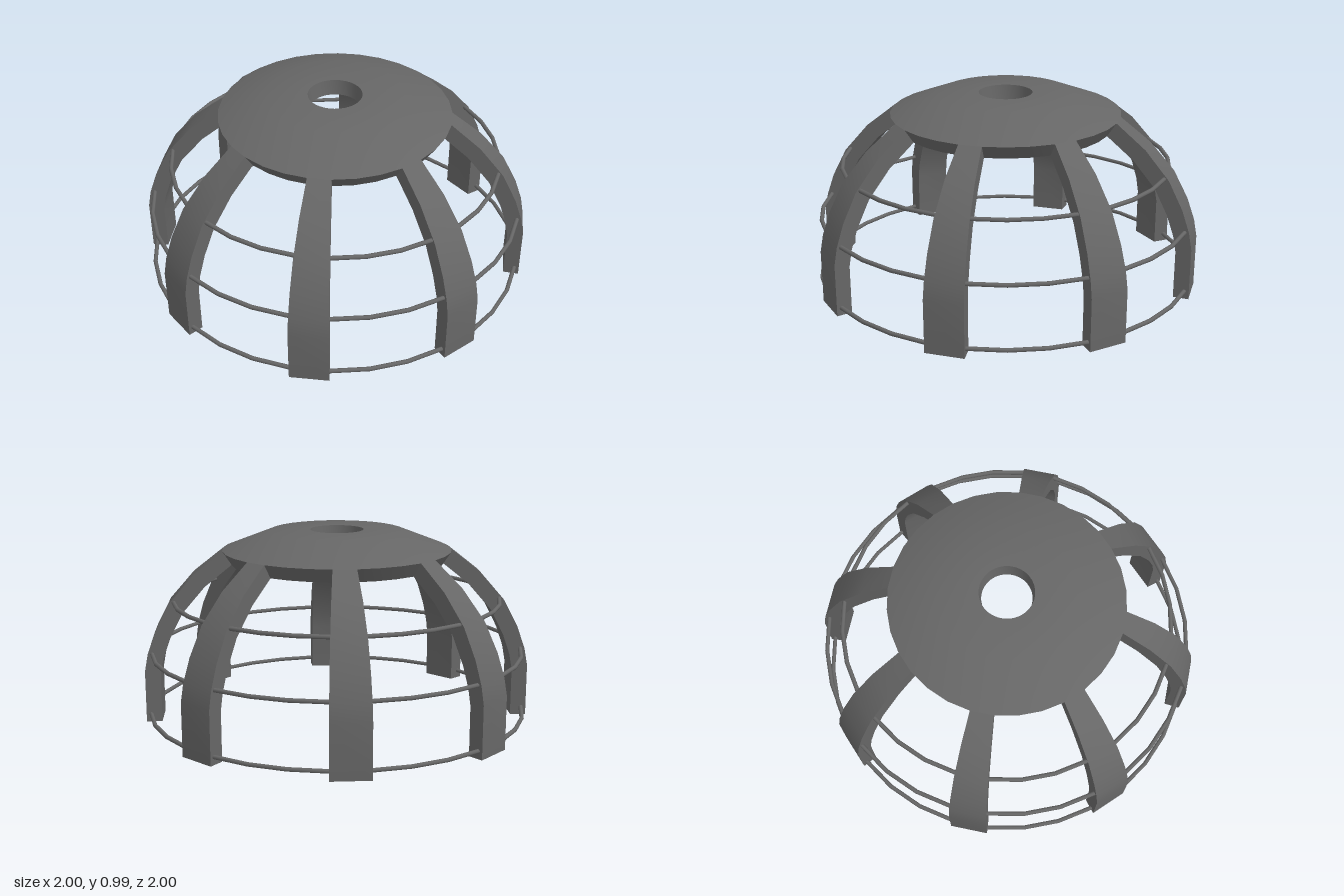
import * as THREE from 'three';
import { mergeGeometries, toCreasedNormals } from 'three/addons/utils/BufferGeometryUtils.js';

const STEP = Math.PI / 16; // the dome is divided into 32 facets around
const INNER = 0.92; // inner shell as a fraction of the outer one

// Closed (radius, height) section: outer line upwards, scaled inner line back down
function shellSection(outer) {
  const out = outer.map(([r, y]) => new THREE.Vector2(r, y));
  const inn = out.map((p) => p.clone().multiplyScalar(INNER)).reverse();
  return [...out, ...inn];
}

// Sweep a section around y; partial sweeps get end faces
function sweep(section, segments, length) {
  const closed = [...section, section[0].clone()];
  const parts = [new THREE.LatheGeometry(closed, segments, 0, length)];
  if (length < Math.PI * 2) {
    for (const phi of [0, length]) {
      const end = new THREE.ShapeGeometry(new THREE.Shape(section));
      end.rotateY(phi - Math.PI / 2);
      if (phi > 0) end.index.array.reverse();
      parts.push(end);
    }
  }
  const plain = parts.map((g) => {
    const n = g.toNonIndexed();
    n.deleteAttribute('uv');
    n.deleteAttribute('normal');
    return n;
  });
  return toCreasedNormals(mergeGeometries(plain), 0.5);
}

export function createModel() {
  const model = new THREE.Group();
  model.name = 'ribbedDome';
  const darkGrey = new THREE.MeshStandardMaterial({ color: 0x666666 });
  darkGrey.name = 'dark grey';

  const add = (name, geometry) => {
    const mesh = new THREE.Mesh(geometry, darkGrey);
    mesh.name = name;
    model.add(mesh);
    return mesh;
  };

  // Roof cap with a round central opening
  add('roofCap', sweep(shellSection([
    [0.59, 0.885], [0.345, 0.981], [0.137, 0.985],
  ]), 32, Math.PI * 2));

  // Eight curved ribs, each one facet wide
  const rib = sweep(shellSection([
    [1, 0], [1, 0.27], [0.983, 0.36], [0.943, 0.475],
    [0.868, 0.62], [0.742, 0.765], [0.59, 0.885],
  ]), 1, STEP);
  for (let i = 0; i < 8; i++) {
    add('rib', rib).rotation.y = i * Math.PI / 4;
  }

  // Thin horizontal rails running through the ribs
  for (const [radius, y] of [[0.975, 0.04], [0.96, 0.36], [0.842, 0.627]]) {
    const rail = new THREE.TorusGeometry(radius, 0.011, 8, 32);
    rail.rotateX(Math.PI / 2);
    add('rail', rail).position.y = y;
  }

  return model;
}
